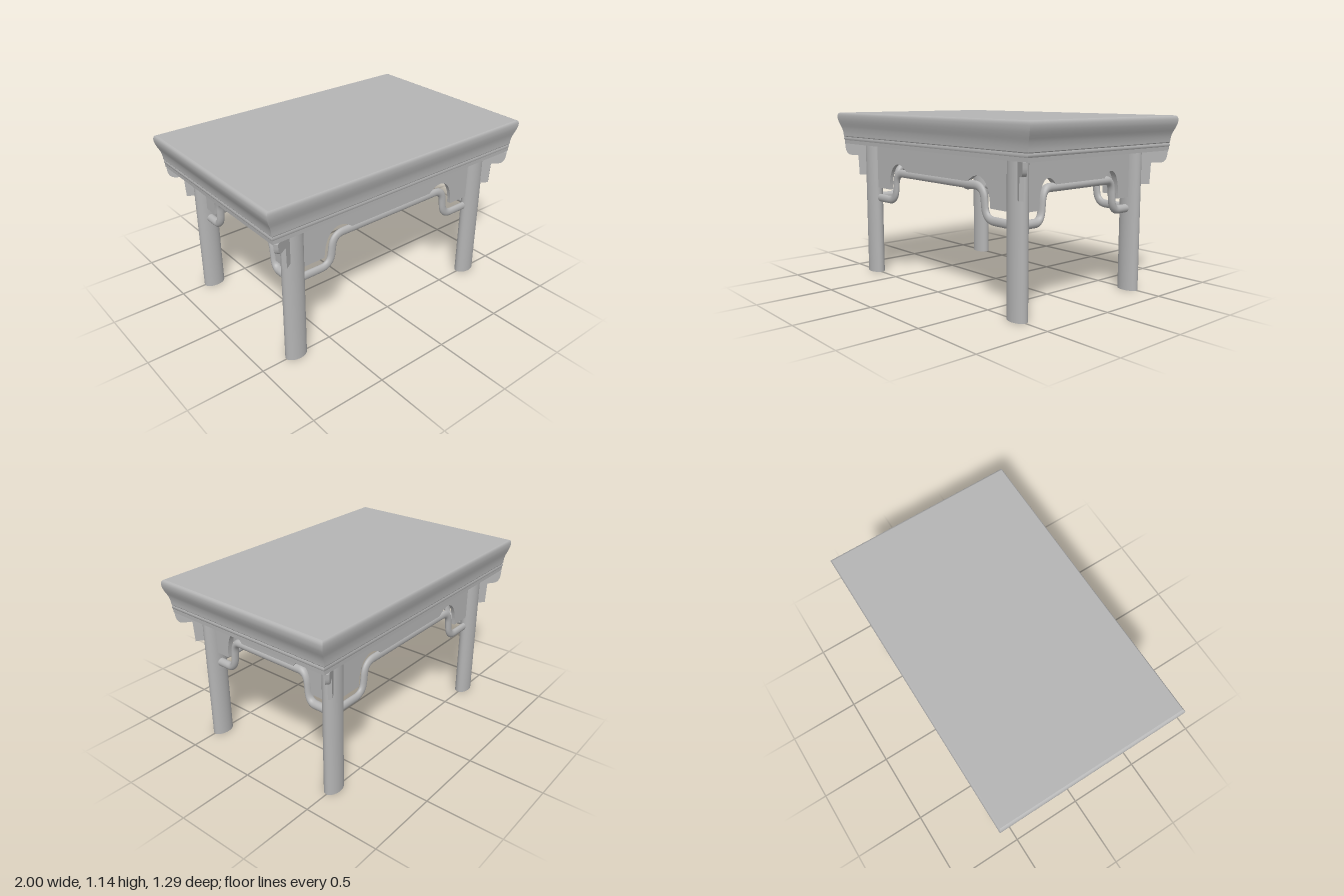
import * as THREE from 'three';

const LEG = 0.755;      // leg distance from the centre, before the depth squeeze
const DEPTH = 0.658;    // the understructure is square, squeezed in depth
const UNDER = 0.92;     // underside of the table top

// Moulded top: rectangular rings following an edge profile of [inset, y]
function topGeometry() {
  const groups = [
    [[0.018, 1.14], [0.008, 1.136], [0.002, 1.127], [0, 1.115], [0.001, 1.097], [0.006, 1.08], [0.013, 1.062],
      [0.021, 1.045], [0.029, 1.027], [0.034, 1.007], [0.037, 0.99], [0.038, 0.973]],
    [[0.038, 0.973], [0.042, 0.968]],
    [[0.042, 0.968], [0.039, 0.96], [0.039, 0.952], [0.043, 0.945]],
    [[0.043, 0.945], [0.044, UNDER]],
  ];
  const corners = [[1, 1], [1, -1], [-1, -1], [-1, 1]];
  const pos = [], idx = [];
  const add = (c, [inset, y]) => {
    pos.push(c[0] * (1 - inset), y, c[1] * (0.643 - 0.66 * inset));
    return pos.length / 3 - 1;
  };
  corners.forEach((a, k) => {
    const b = corners[(k + 1) % 4];
    for (const rows of groups) {
      const start = pos.length / 3;
      rows.forEach((p) => { add(a, p); add(b, p); });
      for (let i = 0; i < rows.length - 1; i++) {
        const t = start + i * 2;
        idx.push(t, t + 2, t + 3, t, t + 3, t + 1);
      }
    }
  });
  // Flat faces above and below
  const [t0, t1, t2, t3] = corners.map((c) => add(c, groups[0][0]));
  idx.push(t0, t1, t2, t0, t2, t3);
  const [b0, b1, b2, b3] = corners.map((c) => add(c, [0.044, UNDER]));
  idx.push(b0, b2, b1, b0, b3, b2);
  const g = new THREE.BufferGeometry();
  g.setAttribute('position', new THREE.Float32BufferAttribute(pos, 3));
  g.setIndex(idx);
  g.computeVertexNormals();
  return g;
}

// Plate extruded symmetrically about z = 0
function plate(shape, thickness) {
  const g = new THREE.ExtrudeGeometry(shape, { depth: thickness, bevelEnabled: false, curveSegments: 10 });
  return g.translate(0, 0, -thickness / 2);
}

// Apron panel with an arched notch beside each leg
function apronGeometry() {
  const arch = [[0.535, 0.617], [0.531, 0.665], [0.517, 0.72], [0.49, 0.767], [0.45, 0.794],
    [0.41, 0.798], [0.371, 0.787], [0.335, 0.764]];
  const curve = new THREE.SplineCurve(arch.map((p) => new THREE.Vector2(...p))).getPoints(28);
  const half = [new THREE.Vector2(LEG, UNDER), new THREE.Vector2(LEG, 0.617), ...curve, new THREE.Vector2(0.32, 0.75)];
  const mirrored = half.map((p) => new THREE.Vector2(-p.x, p.y)).reverse();
  return plate(new THREE.Shape([...half, ...mirrored]), 0.04);
}

// Humpbacked round stretcher with rounded bends
function railGeometry() {
  const knots = [[-LEG, 0.543], [-0.482, 0.543], [-0.458, 0.739], [0.458, 0.739], [0.482, 0.543], [LEG, 0.543]]
    .map(([x, y]) => new THREE.Vector3(x, y, 0));
  const path = new THREE.CurvePath();
  let from = knots[0];
  for (let i = 1; i < knots.length - 1; i++) {
    const toward = (n) => knots[i].clone().add(n.clone().sub(knots[i]).setLength(0.075));
    const a = toward(knots[i - 1]), b = toward(knots[i + 1]);
    path.add(new THREE.LineCurve3(from, a));
    path.add(new THREE.QuadraticBezierCurve3(a, knots[i], b));
    from = b;
  }
  path.add(new THREE.LineCurve3(from, knots[knots.length - 1]));
  return new THREE.TubeGeometry(path, 160, 0.027, 20, false);
}

// Corner bracket pointing diagonally outward from a leg
function bracketGeometry() {
  const s = new THREE.Shape();
  s.moveTo(0.03, UNDER);
  s.lineTo(0.03, 0.70);
  s.lineTo(0.136, 0.70);
  s.lineTo(0.143, 0.832);
  s.quadraticCurveTo(0.144, 0.84, 0.155, 0.84);
  s.lineTo(0.205, 0.84);
  s.bezierCurveTo(0.24, 0.842, 0.255, 0.86, 0.26, 0.89);
  s.lineTo(0.264, UNDER);
  return plate(s, 0.03);
}

export function createModel() {
  const wood = new THREE.MeshStandardMaterial({ color: 0xb4b4b4 });
  wood.name = 'plain grey';
  const model = new THREE.Group();
  model.name = 'table';
  const mesh = (name, geometry, parent) => {
    const m = new THREE.Mesh(geometry, wood);
    m.name = name;
    parent.add(m);
    return m;
  };

  mesh('tableTop', topGeometry(), model);

  const base = new THREE.Group();
  base.name = 'understructure';
  base.scale.z = DEPTH;
  model.add(base);

  const leg = new THREE.CylinderGeometry(0.074, 0.074, UNDER, 48).translate(0, UNDER / 2, 0);
  const apron = apronGeometry(), rail = railGeometry(), bracket = bracketGeometry();

  // Each side carries one leg, bracket, apron and rail
  for (let k = 0; k < 4; k++) {
    const side = new THREE.Group();
    side.name = ['front', 'left', 'back', 'right'][k] + 'Side';
    side.rotation.y = k * Math.PI / 2;
    base.add(side);
    mesh('leg', leg, side).position.set(LEG, 0, LEG);
    const b = mesh('cornerBracket', bracket, side);
    b.position.set(LEG, 0, LEG);
    b.rotation.y = -Math.PI / 4;
    mesh('apron', apron, side).position.z = LEG;
    mesh('rail', rail, side).position.z = LEG;
  }
  return model;
}
